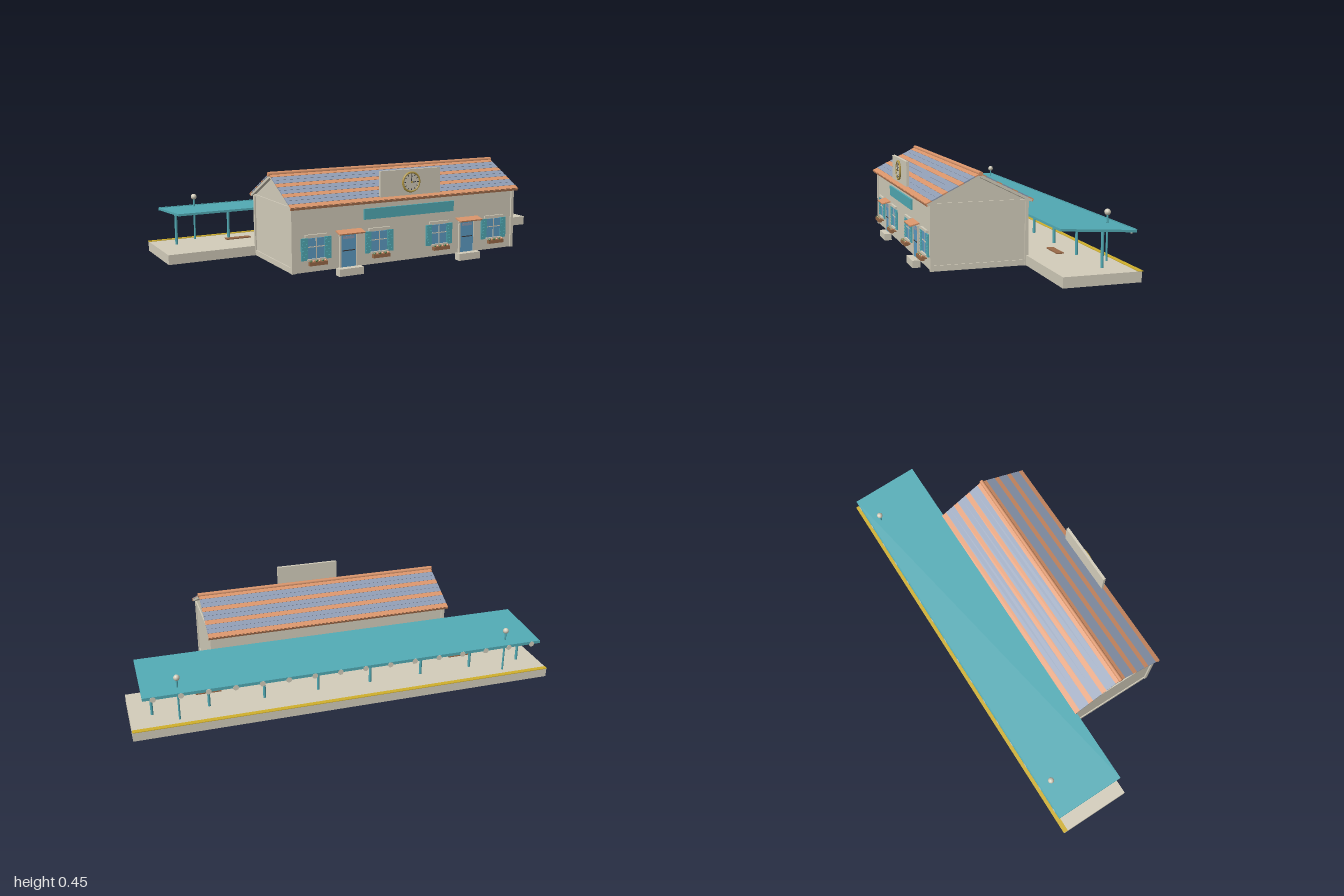
import * as THREE from 'three';

const mat = (name, color) => Object.assign(new THREE.MeshStandardMaterial({ color }), { name });

export function createModel() {
  const cream = mat('cream plaster', 0xd3cdbb);
  const teal = mat('teal paint', 0x52abb5);
  const terracotta = mat('terracotta tile', 0xd9946a);
  const slate = mat('blue grey tile', 0x8f9cb3);
  const blue = mat('blue door and glass', 0x5d9cc4);
  const brown = mat('brown wood', 0x9a6a48);
  const yellow = mat('yellow line', 0xd0b02c);
  const gold = mat('gold clock rim', 0xb59a45);
  const dark = mat('dark iron', 0x3a3a3c);
  const green = mat('green leaves', 0x4f7a45);

  const model = new THREE.Group();
  model.name = 'railwayStation';

  const add = (parent, name, geo, material, x = 0, y = 0, z = 0) => {
    const m = new THREE.Mesh(geo, material);
    m.name = name;
    m.position.set(x, y, z);
    parent.add(m);
    return m;
  };
  const box = (parent, name, material, w, h, d, x, y, z) =>
    add(parent, name, new THREE.BoxGeometry(w, h, d), material, x, y, z);
  const rod = (parent, name, material, r, h, x, y, z, n = 10) =>
    add(parent, name, new THREE.CylinderGeometry(r, r, h, n), material, x, y, z);
  const group = (name, x = 0, y = 0, z = 0, parent = model) => {
    const g = new THREE.Group();
    g.name = name;
    g.position.set(x, y, z);
    parent.add(g);
    return g;
  };

  // Building body: gabled section extruded along x
  const building = group('building');
  const section = new THREE.Shape([
    [-0.06, 0.03], [0.36, 0.03], [0.36, 0.316], [0.15, 0.42], [-0.06, 0.316],
  ].map(([z, y]) => new THREE.Vector2(z, y)));
  const bodyGeo = new THREE.ExtrudeGeometry(section, { depth: 1.164, bevelEnabled: false });
  bodyGeo.translate(0, 0, -0.582).rotateY(-Math.PI / 2);
  add(building, 'walls', bodyGeo, cream);
  for (const s of [-1, 1]) {
    for (const z of [-0.0615, 0.3605])
      box(building, 'cornerPilaster', cream, 0.015, 0.286, 0.015, s * 0.5815, 0.173, z);
    box(building, 'endPlinth', cream, 0.006, 0.025, 0.41, s * 0.5835, 0.0425, 0.15);
    box(building, 'endCornice', cream, 0.006, 0.009, 0.43, s * 0.5845, 0.3155, 0.15);
  }

  // Roof: two slopes of striped tile rows over a cream deck
  const roof = group('roof', 0, 0.436, 0.15);
  const slopeLength = 0.2625, rows = 10;
  for (const turn of [0, Math.PI]) {
    const side = group('roofSide', 0, 0, 0, roof);
    side.rotation.y = turn;
    const slope = group('roofSlope', 0, 0, 0, side);
    slope.rotation.x = Math.atan2(0.117, 0.235);
    box(slope, 'roofDeck', cream, 1.19, 0.012, slopeLength - 0.004, 0, -0.006, slopeLength / 2);
    for (let i = 0; i < rows; i++) {
      const step = slopeLength / rows;
      const row = box(slope, 'tileRow', i % 3 === 0 ? terracotta : slate,
        1.196, 0.005, step + 0.002, 0, 0.002, (i + 0.5) * step);
      row.rotation.x = -0.04;
    }
    box(slope, 'eaveTrim', terracotta, 1.198, 0.012, 0.005, 0, -0.003, slopeLength);
  }
  rod(roof, 'ridgeCap', terracotta, 0.01, 1.204, 0, 0.003, 0).rotation.z = Math.PI / 2;

  // Clock on its parapet plate
  const clock = group('clock', 0, 0.391, 0.37);
  box(clock, 'parapet', cream, 0.315, 0.117, 0.013, 0, -0.001, -0.0065);
  rod(clock, 'clockFace', cream, 0.042, 0.006, 0, 0, 0.003, 32).rotation.x = Math.PI / 2;
  add(clock, 'clockRim', new THREE.TorusGeometry(0.043, 0.005, 8, 36), gold, 0, 0, 0.004);
  for (let i = 0; i < 12; i++) {
    const a = (i * Math.PI) / 6;
    box(clock, 'hourMark', dark, 0.003, 0.007, 0.002, 0.034 * Math.sin(a), 0.034 * Math.cos(a), 0.007)
      .rotation.z = -a;
  }
  box(clock, 'minuteHand', dark, 0.004, 0.032, 0.002, 0, 0.014, 0.008);
  box(clock, 'hourHand', dark, 0.023, 0.004, 0.002, 0.0105, 0, 0.008);
  rod(clock, 'clockHub', gold, 0.004, 0.008, 0, 0, 0.008).rotation.x = Math.PI / 2;

  // Blank sign board
  box(model, 'signBoard', teal, 0.474, 0.048, 0.009, 0, 0.261, 0.3645);

  // Doors with steps and sloping awnings
  for (const s of [-1, 1]) {
    const door = group('door', s * 0.315, 0, 0.36);
    box(door, 'doorPanel', blue, 0.074, 0.146, 0.006, 0, 0.107, 0.003);
    for (const e of [-1, 1]) box(door, 'doorJamb', cream, 0.008, 0.15, 0.009, e * 0.041, 0.109, 0.0045);
    box(door, 'doorHead', cream, 0.09, 0.008, 0.009, 0, 0.184, 0.0045);
    box(door, 'doorBar', dark, 0.06, 0.004, 0.002, 0, 0.108, 0.007);
    box(door, 'doorTopPanel', slate, 0.056, 0.012, 0.002, 0, 0.166, 0.0065);
    box(door, 'step', cream, 0.12, 0.033, 0.037, 0, 0.0165, 0.0175);
    box(door, 'awning', terracotta, 0.126, 0.006, 0.044, 0, 0.194, 0.024).rotation.x = 0.24;
    for (const e of [-1, 1])
      box(door, 'awningBracket', cream, 0.005, 0.004, 0.026, e * 0.045, 0.183, 0.01).rotation.x = -0.75;
  }

  // Windows with shutters and planters
  for (const x of [-0.472, -0.16, 0.16, 0.472]) {
    const win = group('window', x, 0, 0.36);
    box(win, 'glass', blue, 0.08, 0.092, 0.004, 0, 0.133, 0.002);
    box(win, 'mullion', cream, 0.004, 0.092, 0.003, 0, 0.133, 0.0045);
    box(win, 'glazingBar', cream, 0.08, 0.004, 0.003, 0, 0.141, 0.0045);
    box(win, 'lintel', cream, 0.108, 0.011, 0.01, 0, 0.19, 0.005);
    box(win, 'sill', cream, 0.09, 0.006, 0.012, 0, 0.086, 0.006);
    for (const s of [-1, 1]) {
      box(win, 'shutter', teal, 0.032, 0.098, 0.006, s * 0.056, 0.132, 0.004);
      for (let i = 0; i < 6; i++)
        box(win, 'shutterSlat', teal, 0.024, 0.005, 0.003, s * 0.056, 0.096 + i * 0.0145, 0.008);
    }
    box(win, 'planter', brown, 0.086, 0.016, 0.018, 0, 0.071, 0.023);
    box(win, 'planterBracket', brown, 0.05, 0.006, 0.016, 0, 0.068, 0.008);
    for (let i = 0; i < 6; i++)
      add(win, 'plant', new THREE.IcosahedronGeometry(0.006, 0), i % 2 ? terracotta : green,
        -0.035 + i * 0.014, 0.082, 0.025);
  }

  // Platform with its edge line
  box(model, 'platform', cream, 2, 0.045, 0.34, 0, 0.0525, -0.229);
  box(model, 'platformLine', yellow, 2, 0.003, 0.022, 0, 0.076, -0.394);

  // Canopy: sloping sheet, fascia, roundels and posts
  const canopy = group('canopy');
  const sheet = box(canopy, 'canopySheet', teal, 1.89, 0.01, 0.332, 0, 0.239, -0.234);
  sheet.rotation.x = -Math.atan2(0.022, 0.33);
  box(canopy, 'canopyFascia', teal, 1.89, 0.014, 0.005, 0, 0.229, -0.399);
  for (let i = 0; i < 16; i++)
    rod(canopy, 'fasciaRoundel', cream, 0.013, 0.005, -0.9 + i * 0.12, 0.223, -0.4, 16).rotation.x = Math.PI / 2;
  for (let i = 0; i < 8; i++)
    rod(canopy, 'canopyPost', teal, 0.0065, 0.16, -0.9 + (i * 1.8) / 7, 0.155, -0.271);

  // Lamps and benches
  for (const s of [-1, 1]) {
    const lamp = group('lamp', s * 0.787, 0, -0.345);
    rod(lamp, 'lampPole', teal, 0.0045, 0.2, 0, 0.173, 0);
    add(lamp, 'lampGlobe', new THREE.SphereGeometry(0.014, 12, 8), cream, 0, 0.283, 0);
    box(model, 'benchSeat', brown, 0.12, 0.005, 0.032, s * 0.63, 0.097, -0.176);
  }
  return model;
}
